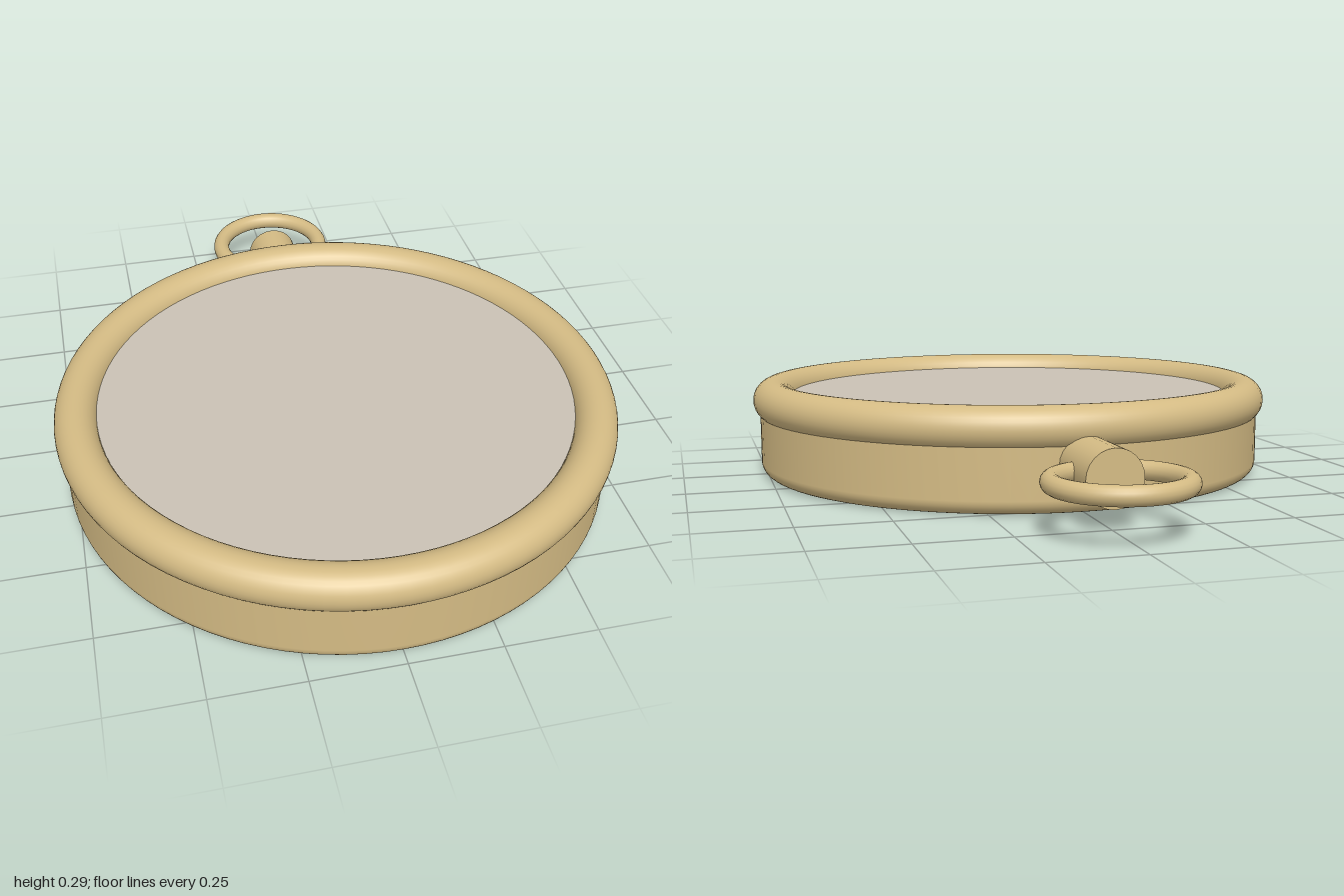
import * as THREE from 'three';

const CENTRE_Z = 0.205; // axis of the round case
const STEM_Y = 0.132;   // height of the stem and its ring

export function createModel() {
  const group = new THREE.Group();
  const brass = new THREE.MeshStandardMaterial({ color: 0xd4bb84 });
  brass.name = 'brass';
  const glass = new THREE.MeshStandardMaterial({ color: 0xcac2b5 });
  glass.name = 'pale glass';

  const add = (name, geometry, material, x, y, z) => {
    const mesh = new THREE.Mesh(geometry, material);
    mesh.name = name;
    mesh.position.set(x, y, z);
    group.add(mesh);
    return mesh;
  };

  // Case: flat back, rounded lower edge, straight wall, closed under the glass
  const radius = 0.77, fillet = 0.04;
  const profile = [new THREE.Vector2(0, 0)];
  for (let i = 0; i <= 8; i++) {
    const a = (i / 8) * Math.PI / 2;
    profile.push(new THREE.Vector2(
      radius - fillet + fillet * Math.sin(a), fillet - fillet * Math.cos(a)));
  }
  profile.push(new THREE.Vector2(radius, 0.22));
  add('case', new THREE.LatheGeometry(profile, 96), brass, 0, 0, CENTRE_Z);

  // Bezel: round rim over the case
  const bezel = new THREE.TorusGeometry(0.73, 0.06, 32, 96).rotateX(Math.PI / 2);
  add('bezel', bezel, brass, 0, 0.226, CENTRE_Z);

  // Glass: thin disc set inside the bezel
  add('glass', new THREE.CylinderGeometry(0.69, 0.69, 0.008, 96), glass, 0, 0.237, CENTRE_Z);

  // Stem: short cylinder leaving the back of the case
  const stem = new THREE.CylinderGeometry(0.077, 0.077, 0.22, 24).rotateX(Math.PI / 2);
  add('stem', stem, brass, 0, STEM_Y, -0.66);

  // Hanging ring: lies flat and passes through the stem
  const ring = new THREE.TorusGeometry(0.17, 0.026, 16, 64).rotateX(Math.PI / 2);
  add('hangingRing', ring, brass, 0, STEM_Y, -0.804);

  return group;
}
